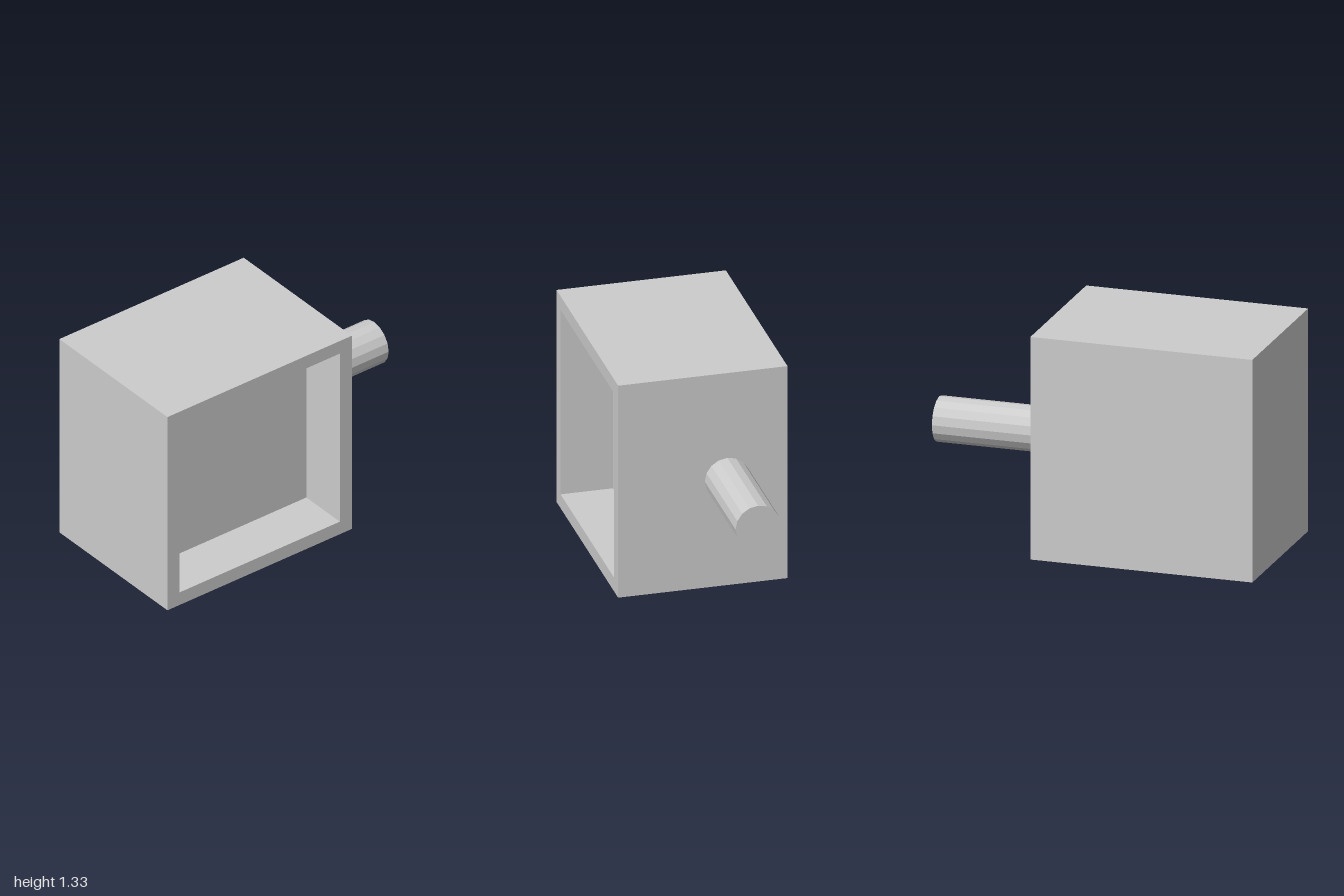
import * as THREE from 'three';

// Hard-edged copy of a geometry
function faceted(geometry) {
  const flat = geometry.toNonIndexed();
  flat.computeVertexNormals();
  return flat;
}

export function createModel() {
  const group = new THREE.Group();
  const grey = new THREE.MeshStandardMaterial({ color: 0xcccccc });
  grey.name = 'light grey';

  // Square housing with a recessed front: a four-sided lathe turned to face +z
  const half = 0.6667, inner = 0.58, front = 0.5, recess = 0.19;
  const profile = [
    [0, -front], [half, -front], [half, front],
    [inner, front], [inner, recess], [0, recess],
  ].map(([side, z]) => new THREE.Vector2(side * Math.SQRT2, z));
  const housingGeometry = new THREE.LatheGeometry(profile, 4, Math.PI / 4);
  housingGeometry.rotateX(Math.PI / 2);
  const housing = new THREE.Mesh(faceted(housingGeometry), grey);
  housing.name = 'housing';
  housing.position.set(-0.3333, half, 0);
  group.add(housing);

  // Sixteen-sided shaft sticking out of the left wall
  const length = 0.6667;
  const shaftGeometry = new THREE.CylinderGeometry(0.1333, 0.1333, length, 16);
  shaftGeometry.rotateZ(-Math.PI / 2);
  const shaft = new THREE.Mesh(faceted(shaftGeometry), grey);
  shaft.name = 'shaft';
  shaft.position.set(1 - length / 2, half, -0.145);
  group.add(shaft);

  return group;
}
